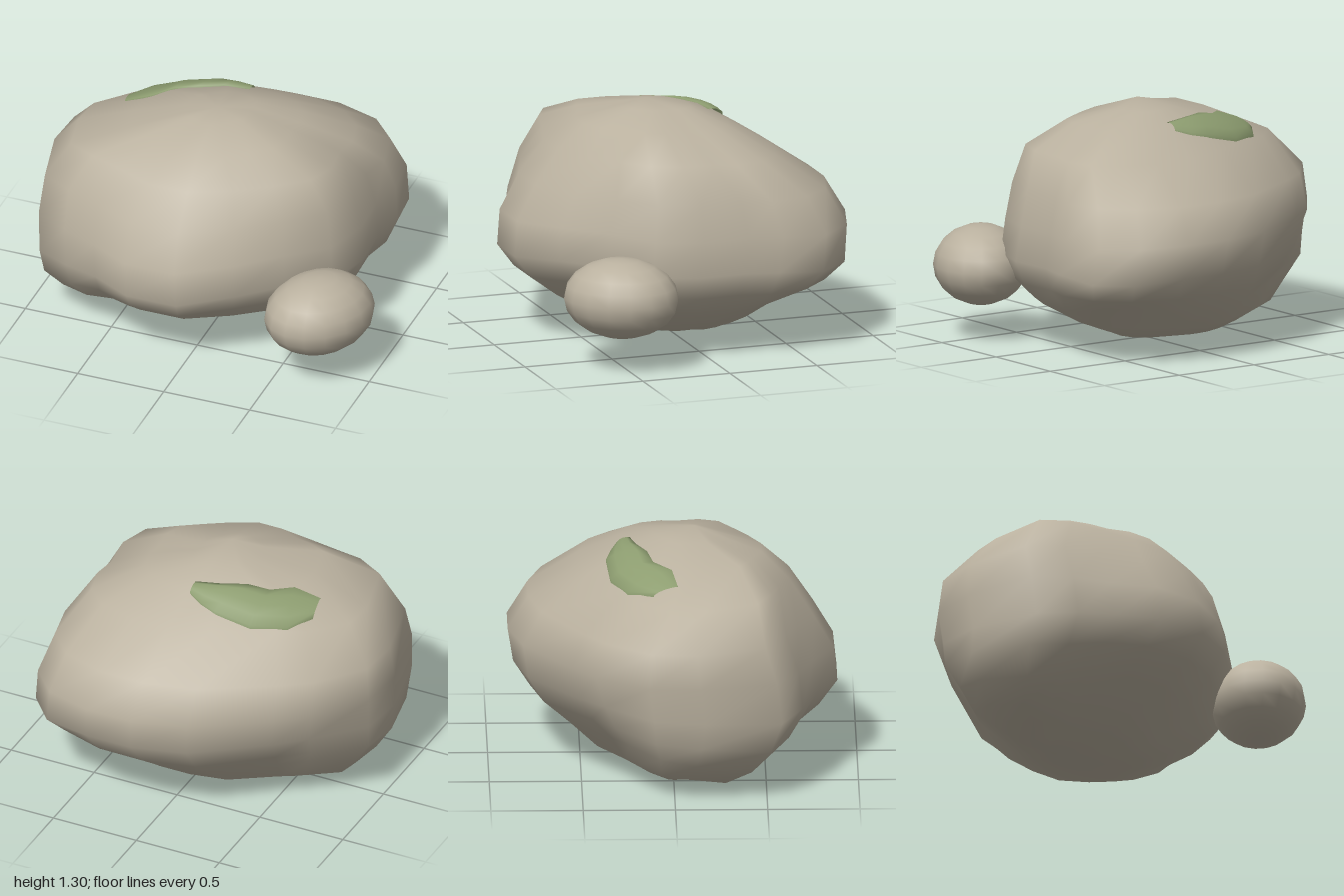
import * as THREE from 'three';
import { mergeVertices } from 'three/addons/utils/BufferGeometryUtils.js';

// Boulder plan outline as [x, z], clockwise from above
const PLAN = [
  [0.1, -0.89], [0.37, -0.89], [0.63, -0.8], [0.78, -0.62], [0.83, -0.37], [0.79, -0.18],
  [0.8, 0.08], [0.72, 0.33], [0.52, 0.53], [0.3, 0.73], [0.02, 0.89], [-0.27, 0.89],
  [-0.5, 0.77], [-0.7, 0.69], [-0.9, 0.57], [-1, 0.15], [-0.98, -0.13], [-0.77, -0.42],
  [-0.6, -0.55], [-0.2, -0.81],
];

// Extents at each height: [y, xMin, xMax, zMin, zMax]
const LEVELS = [
  [0, -0.3, -0.3, 0, 0],
  [0.005, -0.5, -0.12, -0.12, 0.1],
  [0.05, -0.62, 0.25, -0.28, 0.28],
  [0.12, -0.8, 0.44, -0.45, 0.43],
  [0.24, -0.9, 0.66, -0.61, 0.63],
  [0.36, -0.98, 0.78, -0.77, 0.79],
  [0.49, -0.985, 0.83, -0.86, 0.89],
  [0.68, -1, 0.81, -0.89, 0.87],
  [0.87, -0.98, 0.76, -0.78, 0.76],
  [1.06, -0.82, 0.64, -0.5, 0.63],
  [1.19, -0.5, 0.38, -0.28, 0.48],
  [1.26, -0.22, 0.13, -0.11, 0.25],
  [1.3, -0.03, -0.03, 0.12, 0.12],
];

// Soft bulges and dents: [centre, radius, push]
const LUMPS = [
  [[-0.81, 0.26, 0.43], 0.5, [0, -0.09, 0.01]], // heavy lower front corner
  [[0.5, 0.22, -0.5], 0.38, [-0.03, 0.05, 0.03]], // raised rear underside
  [[0.7, 0.53, -0.65], 0.35, [0.02, -0.03, -0.02]], // blunt rear tip
  [[0.55, 1.04, 0.28], 0.5, [0.03, 0.02, 0.03]], // front left shoulder
  [[-0.6, 1, 0.45], 0.45, [-0.02, 0.04, 0.03]], // front right shoulder
  [[-0.28, 1.08, -0.3], 0.42, [0, 0.03, 0]], // swelling under the moss
  [[0.4, 0.48, 0.6], 0.45, [0, 0.04, 0]], // undercut beside the small stone
  [[-0.65, 0.32, -0.32], 0.4, [0.045, 0.02, 0.045]], // dent low on the rear flank
];

function sculpt(p) {
  const out = [...p];
  for (const [c, radius, push] of LUMPS) {
    const d = Math.hypot(p[0] - c[0], p[1] - c[1], p[2] - c[2]) / radius;
    const w = d < 1 ? (1 - d * d) ** 2 : 0;
    push.forEach((v, i) => { out[i] += v * w; });
  }
  return out;
}

// Skin a grid of points; rows run upward or outward, columns run along each row
function skin(rows, closed) {
  const n = rows[0].length;
  const index = [];
  for (let i = 0; i < rows.length - 1; i++) {
    for (let j = 0; j < (closed ? n : n - 1); j++) {
      const k = (j + 1) % n;
      const a = i * n + j, b = i * n + k, c = a + n, d = b + n;
      index.push(a, c, b, b, c, d);
    }
  }
  const geo = new THREE.BufferGeometry();
  geo.setAttribute('position', new THREE.Float32BufferAttribute(rows.flat(2), 3));
  geo.setIndex(index);
  const merged = mergeVertices(geo, 1e-4);
  merged.computeVertexNormals();
  return merged;
}

export function createModel() {
  const stone = new THREE.MeshStandardMaterial({ name: 'stone', color: 0xbab19f });
  const mossGreen = new THREE.MeshStandardMaterial({
    name: 'moss green', color: 0x8d9d70, side: THREE.DoubleSide,
  });
  const model = new THREE.Group();
  model.name = 'mossyBoulder';

  // Large boulder: plan outline fitted to the extents of each level, then sculpted
  const rings = LEVELS.map(([y, x0, x1, z0, z1]) => PLAN.map(([x, z]) => sculpt([
    x0 + (x1 - x0) * (x + 1) / 1.83, y, z0 + (z1 - z0) * (z + 0.89) / 1.78,
  ])));
  const boulder = new THREE.Mesh(skin(rings, true), stone);
  boulder.name = 'boulder';
  model.add(boulder);

  // Small stone leaning on the boulder
  const pebble = new THREE.Mesh(new THREE.SphereGeometry(1, 16, 10), stone);
  pebble.name = 'smallStone';
  pebble.scale.set(0.26, 0.22, 0.318);
  pebble.rotation.y = -0.61;
  pebble.position.set(0.72, 0.4, 0.525);
  model.add(pebble);

  // Moss patch: thick rear lip, thinning forward, draped over the boulder
  const back = [[-0.63, -0.11], [-0.54, -0.25], [-0.36, -0.34], [-0.16, -0.36], [-0.06, -0.335], [0.02, -0.3]];
  const front = [[-0.61, 0.02], [-0.47, -0.01], [-0.37, -0.11], [-0.25, -0.14], [-0.12, -0.2], [0.02, -0.23]];
  const profile = [[0, -0.03], [0, 0.018], [0.2, 0.032], [0.45, 0.034], [0.75, 0.024], [1, 0.01], [1, -0.02]];
  const thickness = [0.5, 0.9, 1.2, 1.1, 0.8, 0.5];
  const ray = new THREE.Raycaster();
  const down = new THREE.Vector3(0, -1, 0);
  const surfaceY = (x, z) => {
    ray.set(new THREE.Vector3(x, 3, z), down);
    return ray.intersectObject(boulder)[0].point.y;
  };
  const rows = profile.map(([t, lift]) => back.map(([bx, bz], j) => {
    const x = bx + (front[j][0] - bx) * t;
    const z = bz + (front[j][1] - bz) * t;
    return [x, surfaceY(x, z) + lift * thickness[j], z];
  }));
  const moss = new THREE.Mesh(skin(rows, false), mossGreen);
  moss.name = 'mossPatch';
  model.add(moss);

  return model;
}
